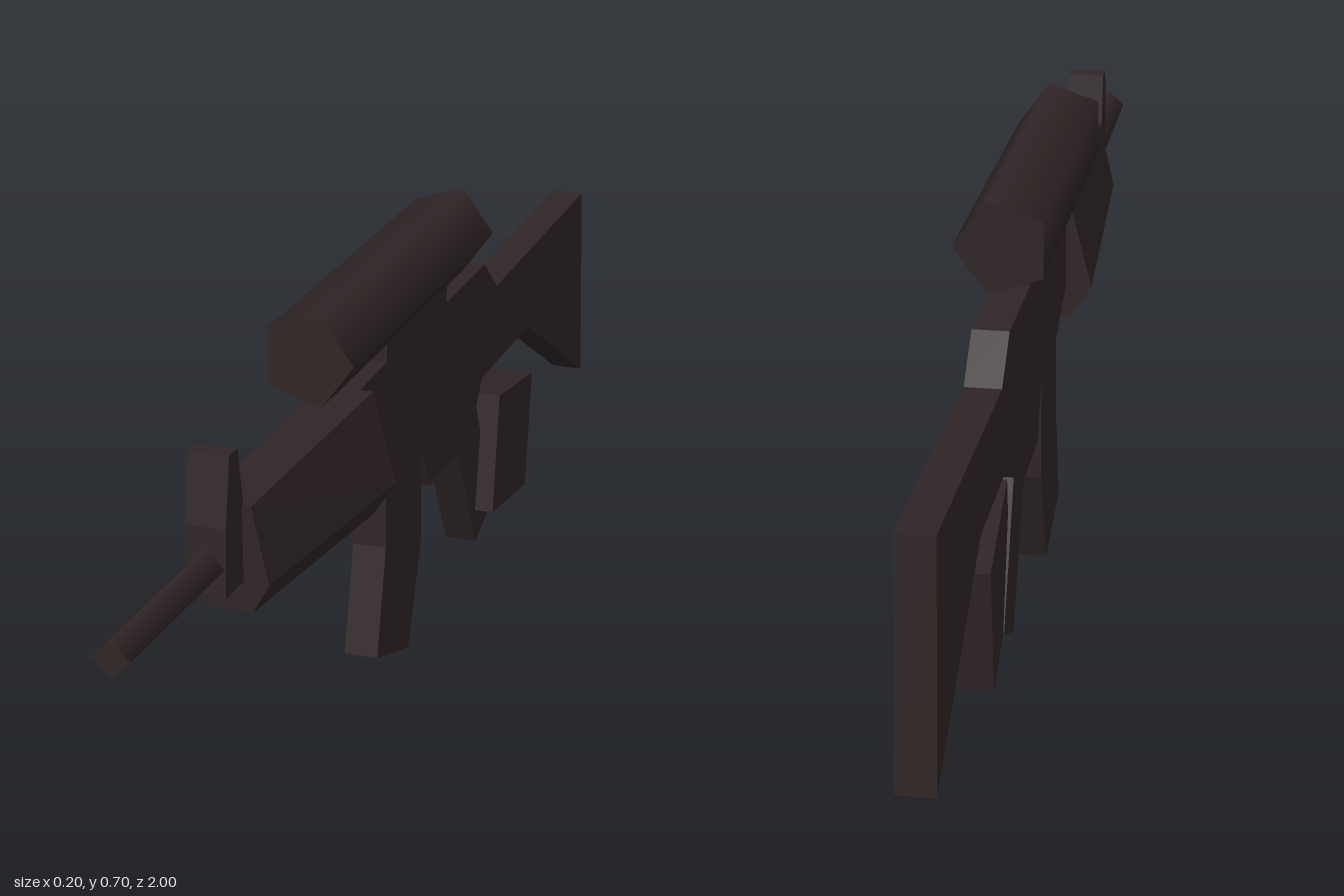
import * as THREE from 'three';
import { ConvexGeometry } from 'three/addons/geometries/ConvexGeometry.js';

export function createModel() {
  const root = new THREE.Group();
  root.name = 'lowPolyRifle';
  const darkMetal = new THREE.MeshStandardMaterial({ color: 0x302526 });
  darkMetal.name = 'darkMetal';

  // Everything but the side box shares one slightly yawed axis
  const rifle = new THREE.Group();
  rifle.name = 'rifle';
  rifle.rotation.y = 0.065;
  rifle.position.x = -0.01;
  root.add(rifle);

  const add = (name, geometry, parent = rifle) => {
    const mesh = new THREE.Mesh(geometry, darkMetal);
    mesh.name = name;
    parent.add(mesh);
    return mesh;
  };

  // Flat plate from a side outline of [z, y] points, centred on x = 0
  const plate = (points, width) => {
    const shape = new THREE.Shape(points.map(([z, y]) => new THREE.Vector2(z, y)));
    return new THREE.ExtrudeGeometry(shape, { depth: width, bevelEnabled: false })
      .translate(0, 0, -width / 2)
      .rotateY(-Math.PI / 2);
  };

  // Few-sided rod along z, with one corner pointing to +x
  const rod = (radius, length, sides) =>
    new THREE.CylinderGeometry(radius, radius, length, sides)
      .rotateX(Math.PI / 2)
      .rotateZ(Math.PI / 2);

  // Receiver with scope rail, stock, grip and magazine in one outline
  add('body', plate([
    [0.21, 0.53], [0.08, 0.535], [0.08, 0.585], [-0.2, 0.585], [-0.2, 0.54],
    [-0.395, 0.545], [-0.465, 0.485], [-0.975, 0.505], [-1, 0.145],
    [-0.65, 0.348], [-0.39, 0.343], [-0.36, 0.3], [-0.455, 0.09],
    [-0.365, 0.047], [-0.265, 0.25], [-0.12, 0.25], [-0.08, 0.335],
    [-0.08, 0.17], [-0.02, 0.002], [0.125, 0.05], [0.085, 0.225],
    [0.085, 0.342], [0.21, 0.395],
  ], 0.055));

  // Tapered six-sided handguard: half-widths and heights at each end
  const section = (z, top, yTop, mid, yMid, low, yLow) =>
    [[top, yTop], [mid, yMid], [low, yLow]].flatMap(([w, y]) =>
      [-1, 1].map((s) => new THREE.Vector3(s * w + 0.008, y, z)));
  add('handguard', new ConvexGeometry([
    ...section(0.65, 0.035, 0.528, 0.06, 0.415, 0.035, 0.37),
    ...section(0.2, 0.042, 0.533, 0.078, 0.39, 0.043, 0.335),
  ]));

  // Front sight post
  add('frontSight', plate([
    [0.71, 0.415], [0.705, 0.515], [0.688, 0.615],
    [0.66, 0.615], [0.645, 0.53], [0.645, 0.415],
  ], 0.06));

  // Four-sided barrel
  const barrel = add('barrel', rod(0.028, 0.37, 4));
  barrel.position.set(0, 0.457, 0.815);

  // Five-sided smooth scope, tilted slightly down to the front
  const scope = add('scope', rod(0.074, 0.635, 5));
  scope.position.set(-0.002, 0.628, 0.018);
  scope.rotation.x = 0.018;

  // Box beside the grip, turned and pitched on its own
  const box = add('sideBox', new THREE.BoxGeometry(0.08, 0.206, 0.23), root);
  box.position.set(-0.03, 0.19, -0.49);
  box.rotation.set(-0.17, 0.12, 0, 'YXZ');

  return root;
}
